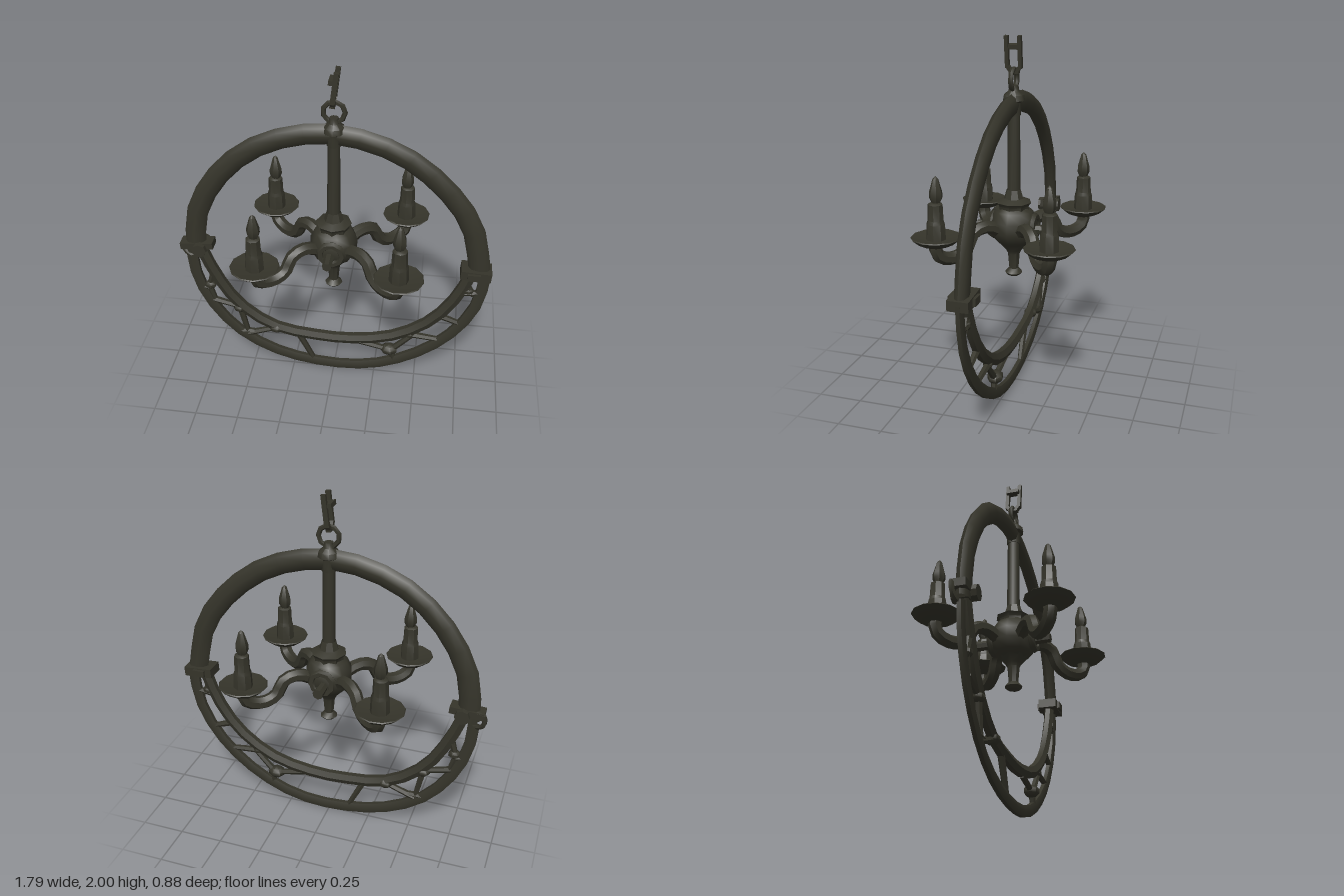
import * as THREE from 'three';
import { toCreasedNormals } from 'three/addons/utils/BufferGeometryUtils.js';

export function createModel() {
  const model = new THREE.Group();
  model.name = 'hangingChandelier';
  const iron = new THREE.MeshStandardMaterial({ color: 0x35342a, side: THREE.DoubleSide });
  iron.name = 'dark iron';
  const V = (x, y, z = 0) => new THREE.Vector3(x, y, z);

  function add(name, geo, pos = [0, 0, 0], parent = model) {
    const m = new THREE.Mesh(toCreasedNormals(geo, 0.75), iron);
    m.name = name;
    m.position.set(...pos);
    parent.add(m);
    return m;
  }
  // bent bar through points; flat squashes its depth
  function bar(name, pts, radius, { segs = 20, sides = 7, flat = 1, closed = false, parent = model } = {}) {
    const curve = new THREE.CatmullRomCurve3(pts, closed);
    const geo = new THREE.TubeGeometry(curve, segs, radius, sides, closed);
    if (flat !== 1) geo.scale(1, 1, flat);
    return add(name, geo, [0, 0, 0], parent);
  }
  // straight rod between two points
  function rod(name, a, b, r0, r1 = r0, sides = 6) {
    const d = b.clone().sub(a);
    const m = add(name, new THREE.CylinderGeometry(r1, r0, d.length(), sides), a.clone().lerp(b, 0.5).toArray());
    m.quaternion.setFromUnitVectors(V(0, 1), d.normalize());
    return m;
  }
  const lathe = (pts, sides) => new THREE.LatheGeometry(pts.map(p => new THREE.Vector2(...p)), sides);
  const path = a => a.map(p => V(...p));

  // Hoop: heavy upper arch, slim outer rim and inner rail below
  bar('upperArch', path([[-0.8, 0.82], [-0.78, 1.07], [-0.67, 1.3], [-0.49, 1.49], [-0.28, 1.6], [0, 1.645],
    [0.33, 1.56], [0.58, 1.375], [0.75, 1.14], [0.825, 0.82]]), 0.06, { segs: 18, sides: 8, flat: 0.6 });
  bar('lowerRim', path([[-0.83, 0.8], [-0.81, 0.62], [-0.72, 0.41], [-0.56, 0.22], [-0.31, 0.085], [0.05, 0.035],
    [0.3, 0.08], [0.55, 0.22], [0.73, 0.41], [0.83, 0.62], [0.855, 0.84]]), 0.036, { segs: 20, sides: 6, flat: 0.6 });
  bar('innerRail', path([[-0.77, 0.84], [-0.7, 0.66], [-0.57, 0.45], [-0.36, 0.3], [-0.1, 0.255], [0.12, 0.255],
    [0.36, 0.31], [0.57, 0.45], [0.71, 0.65], [0.78, 0.84]]), 0.037, { segs: 18, sides: 6, flat: 0.8 });

  // Twig-like lattice between rim and rail
  [[-0.72, 0.66, -0.75, 0.56], [-0.75, 0.56, -0.81, 0.57], [-0.75, 0.57, -0.72, 0.47], [-0.73, 0.47, -0.58, 0.43],
    [-0.57, 0.42, -0.53, 0.22], [-0.53, 0.22, -0.36, 0.28], [-0.58, 0.24, -0.49, 0.24], [-0.22, 0.26, -0.13, 0.07],
    [0.15, 0.24, 0.35, 0.19], [0.35, 0.19, 0.37, 0.1], [0.35, 0.19, 0.47, 0.32], [0.45, 0.33, 0.64, 0.31],
    [0.61, 0.5, 0.74, 0.45], [0.76, 0.74, 0.8, 0.67], [0.74, 0.68, 0.83, 0.69]]
    .forEach(([a, b, c, d]) => rod('latticeTwig', V(a, b), V(c, d), 0.02, 0.016));
  [[-0.57, 0.42, 0.8], [-0.35, 0.285, 0.9], [0.34, 0.195, 1], [0.46, 0.33, 0.6], [-0.74, 0.58, 0.7], [0.77, 0.7, 0.6]]
    .forEach(([x, y, s]) => {
      const k = add('latticeKnot', new THREE.SphereGeometry(0.045 * s, 7, 5), [x, y, 0]);
      k.scale.x = 1.2;
      k.scale.y = 0.8;
    });

  // Side clamps joining the hoop halves
  add('leftClamp', new THREE.BoxGeometry(0.17, 0.055, 0.11), [0.8, 0.84, 0]).rotation.z = -0.06;
  add('leftClampBolt', new THREE.BoxGeometry(0.07, 0.04, 0.14), [0.79, 0.84, 0]);
  add('rightClamp', new THREE.BoxGeometry(0.19, 0.04, 0.08), [-0.79, 0.88, 0]).rotation.z = 0.08;
  add('rightClampBolt', new THREE.CylinderGeometry(0.042, 0.042, 0.13, 8).rotateX(Math.PI / 2), [-0.77, 0.865, 0]);
  bar('rightClampHook', path([[-0.84, 0.885, -0.03], [-0.885, 0.875, -0.03], [-0.88, 0.81, -0.02], [-0.83, 0.78, 0]]),
    0.014, { segs: 8, sides: 5 });

  // Central stem with collar at the arch
  add('stem', new THREE.CylinderGeometry(0.033, 0.038, 0.62, 9), [0, 1.36, 0]);
  add('stemCollar', lathe([[0, 1.58], [0.038, 1.58], [0.042, 1.65], [0.06, 1.66], [0.055, 1.69], [0.03, 1.71],
    [0.025, 1.74], [0, 1.74]], 9));

  // Hub with flared collar, front and back bosses and a drop finial
  add('hub', new THREE.SphereGeometry(0.135, 10, 7), [0, 0.965, 0]);
  add('hubCollar', lathe([[0.04, 1.17], [0.055, 1.12], [0.1, 1.1], [0.085, 1.08], [0.09, 1.03], [0, 1.0]], 8));
  add('hubFinial', lathe([[0.08, 0.86], [0.045, 0.82], [0.035, 0.8], [0.027, 0.71], [0.05, 0.685], [0.035, 0.67],
    [0, 0.675]], 8));
  for (const s of [1, -1]) {
    add('bossRing', new THREE.TorusGeometry(0.062, 0.022, 6, 9), [0, 0.96, s * 0.115]);
    add('bossKnob', new THREE.CylinderGeometry(0.026, 0.03, 0.1, 7).rotateX(Math.PI / 2), [-0.01, 0.945, s * 0.165]);
  }

  // Four curved arms, each with a saucer, candle and flame
  const R = 0.492, angle = Math.atan2(0.307, 0.385);
  for (const a of [angle, Math.PI - angle, Math.PI + angle, -angle]) {
    const arm = new THREE.Group();
    arm.name = 'candleArm';
    arm.rotation.y = a;
    model.add(arm);
    bar('arm', path([[0.08, 0.94], [0.18, 0.985], [0.26, 0.965], [0.31, 0.88], [0.38, 0.85], [0.46, 0.865],
      [0.495, 0.9], [R, 0.955]]), 0.037, { segs: 14, sides: 7, parent: arm });
    add('saucer', lathe([[0, 0.93], [0.05, 0.935], [0.1, 0.955], [0.135, 0.985], [0.13, 0.99], [0.05, 0.975],
      [0, 0.975]], 12), [R, 0, 0], arm);
    add('candle', lathe([[0.054, 0.96], [0.05, 1.06], [0.043, 1.08], [0.04, 1.165], [0.025, 1.175], [0, 1.175]], 8),
      [R, 0, 0], arm);
    add('flame', lathe([[0.02, 1.165], [0.036, 1.2], [0.035, 1.23], [0.015, 1.3], [0, 1.315]], 7),
      [R - 0.005, 0, 0], arm);
  }

  // Chain: round link, then a broken long link
  add('roundLink', new THREE.TorusGeometry(0.057, 0.014, 6, 9), [0, 1.77, 0]);
  const link = new THREE.Group();
  link.name = 'longLink';
  link.position.set(-0.005, 1.82, 0);
  link.rotation.z = -0.12;
  model.add(link);
  for (const s of [1, -1]) {
    add('linkSide', new THREE.BoxGeometry(0.026, 0.17, 0.02), [0, 0.095, s * 0.036], link);
    add('linkCorner', new THREE.BoxGeometry(0.026, 0.04, 0.02), [0, 0.005, s * 0.025], link).rotation.x = -s * -0.6;
  }
  add('linkBase', new THREE.BoxGeometry(0.028, 0.022, 0.055), [0, -0.008, 0], link);
  add('linkBar', new THREE.BoxGeometry(0.04, 0.025, 0.075), [-0.015, 0.12, 0], link);
  return model;
}
